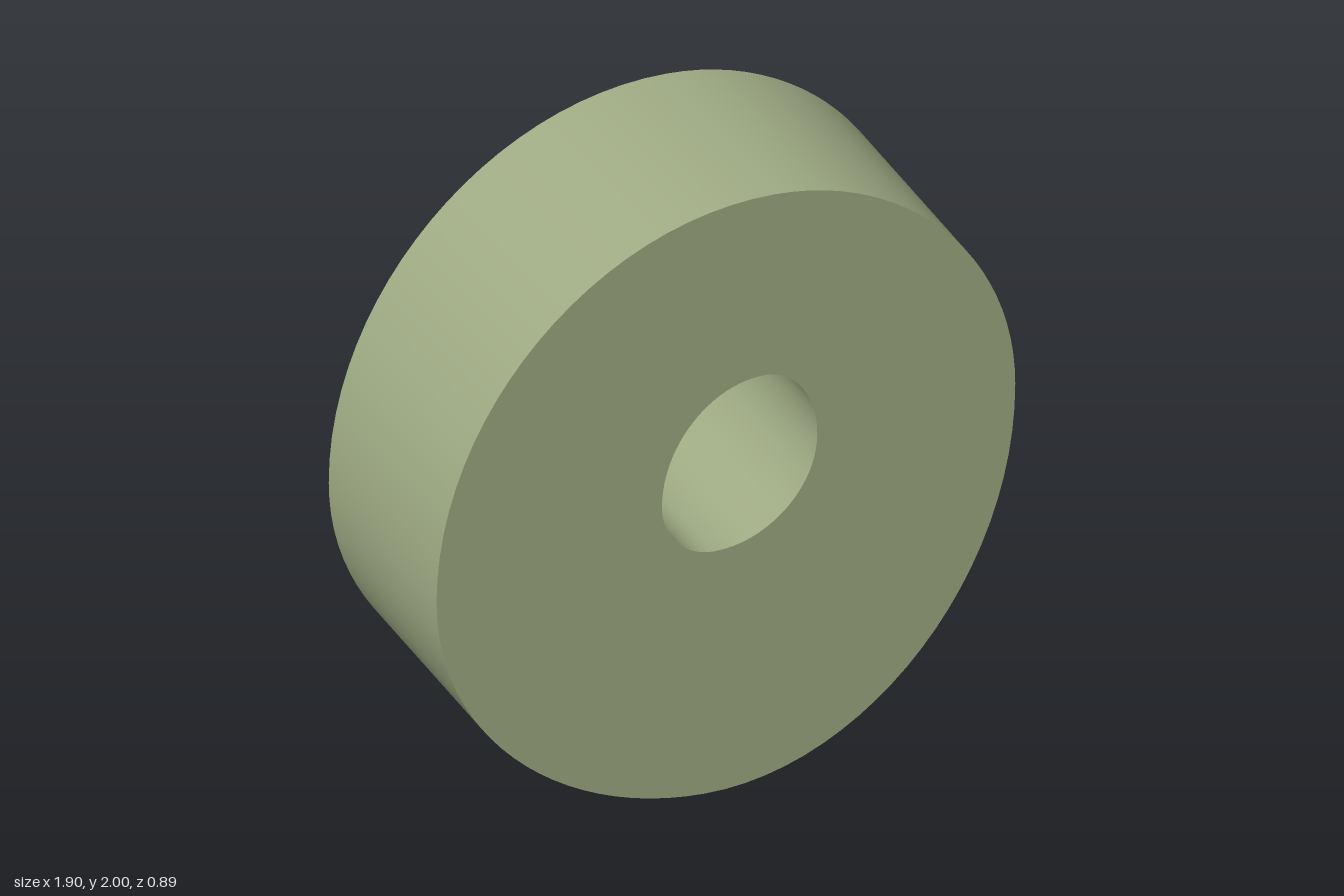
import * as THREE from 'three';
import { toCreasedNormals } from 'three/addons/utils/BufferGeometryUtils.js';

const DEPTH = 0.89;

// Closed leaning oval, counter-clockwise through its top, left, bottom and right extremes.
// Long arcs (top-left, bottom-right) are a little flatter than the short ones.
function oval(path, [tx, ty], [lx, ly], [bx, by], [rx, ry]) {
  const s = 0.56, f = 0.53;
  path.moveTo(tx, ty);
  path.bezierCurveTo(tx + f * (lx - tx), ty, lx, ly + f * (ty - ly), lx, ly);
  path.bezierCurveTo(lx, ly + s * (by - ly), bx + s * (lx - bx), by, bx, by);
  path.bezierCurveTo(bx + f * (rx - bx), by, rx, ry + f * (by - ry), rx, ry);
  path.bezierCurveTo(rx, ry + s * (ty - ry), tx + s * (rx - tx), ty, tx, ty);
  return path;
}

export function createModel() {
  const group = new THREE.Group();
  group.name = 'ovalRing';

  // Thick oval body with an off-centre through hole
  const outline = oval(new THREE.Shape(), [0.16, 2], [-0.95, 0.81], [-0.07, 0], [0.95, 1.21]);
  outline.holes.push(oval(new THREE.Path(), [0.13, 1.39], [-0.21, 1.0], [-0.04, 0.82], [0.3, 1.16]));

  const extruded = new THREE.ExtrudeGeometry(outline, { depth: DEPTH, bevelEnabled: false, curveSegments: 24 });
  extruded.translate(0, 0, -DEPTH / 2);

  const body = new THREE.Mesh(
    toCreasedNormals(extruded, 0.6),
    new THREE.MeshStandardMaterial({ color: 0x9eaa83 })
  );
  body.name = 'body';
  group.add(body);
  return group;
}
